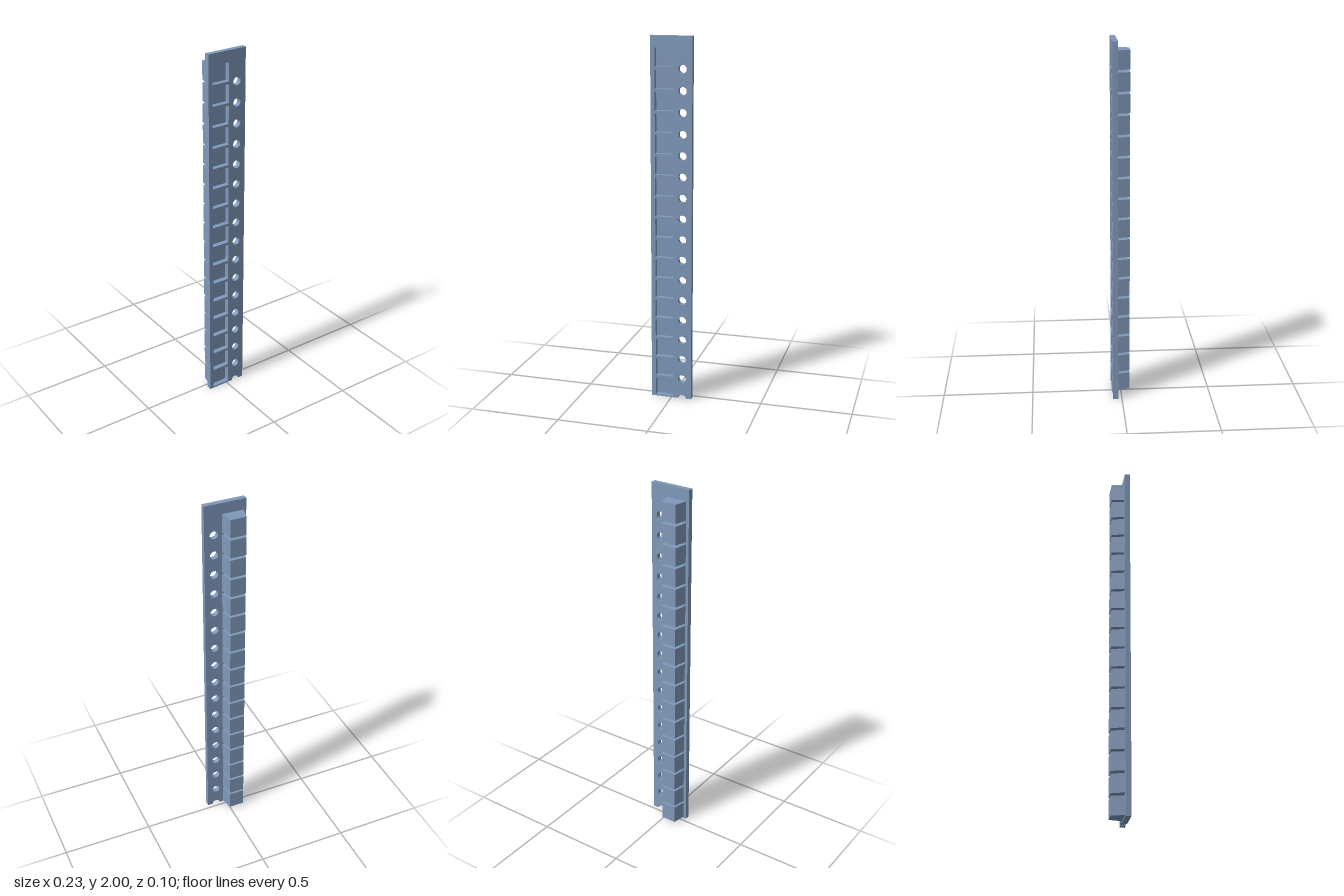
import * as THREE from 'three';

const PITCH = 0.1144, COUNT = 17;
const HALF_W = 0.1135, HEIGHT = 2;
const BACK_Z = 0.021, FRONT_Z = 0.0495, POCKET_Z = -0.0505;
const POCKET_X = -0.04, HOLE_X = 0.061, HOLE_R = 0.0225;

const rowY = (i) => 0.058 + i * PITCH;

// Rectangular opening with slightly rounded corners
function openingPath(cx, cy, half, r) {
  const p = new THREE.Path();
  const k = half - r;
  p.absarc(cx + k, cy + k, r, 0, Math.PI / 2);
  p.absarc(cx - k, cy + k, r, Math.PI / 2, Math.PI);
  p.absarc(cx - k, cy - k, r, Math.PI, Math.PI * 1.5);
  p.absarc(cx + k, cy - k, r, Math.PI * 1.5, Math.PI * 2);
  p.closePath();
  return p;
}

// Flat strip with pocket openings, round holes and a half hole at the bottom end
function stripGeometry() {
  const s = new THREE.Shape();
  s.moveTo(-HALF_W, 0);
  s.lineTo(HOLE_X - HOLE_R, 0);
  s.absarc(HOLE_X, 0, HOLE_R, Math.PI, 0, true);
  s.lineTo(HALF_W, 0);
  s.lineTo(HALF_W, HEIGHT);
  s.lineTo(-HALF_W, HEIGHT);
  s.closePath();
  for (let i = 0; i < COUNT; i++) {
    s.holes.push(openingPath(POCKET_X, rowY(i), 0.05, 0.003));
    if (i > 0) s.holes.push(new THREE.Path().absarc(HOLE_X, i * PITCH, HOLE_R, 0, Math.PI * 2));
  }
  const g = new THREE.ExtrudeGeometry(s, { depth: FRONT_Z - BACK_Z, bevelEnabled: false, curveSegments: 14 });
  return g.translate(0, 0, BACK_Z);
}

// Pocket body: trapezoid in plan, straight from bottom to top
function pocketGeometry(height) {
  const s = new THREE.Shape();
  s.moveTo(-0.057, -BACK_Z);
  s.lineTo(0.057, -BACK_Z);
  s.lineTo(0.043, -POCKET_Z);
  s.lineTo(-0.043, -POCKET_Z);
  s.closePath();
  const g = new THREE.ExtrudeGeometry(s, { depth: height, bevelEnabled: false });
  return g.rotateX(-Math.PI / 2).translate(0, -height / 2, 0);
}

export function createModel() {
  const model = new THREE.Group();
  model.name = 'pocketStrip';
  const blue = new THREE.MeshStandardMaterial({ color: 0x7f99ba });
  blue.name = 'slate blue';

  const strip = new THREE.Mesh(stripGeometry(), blue);
  strip.name = 'strip';
  model.add(strip);

  // Row of pockets behind the openings
  const pockets = new THREE.Group();
  pockets.name = 'pockets';
  const geometry = pocketGeometry(0.101);
  for (let i = 0; i < COUNT; i++) {
    const pocket = new THREE.Mesh(geometry, blue);
    pocket.name = `pocket${i + 1}`;
    pocket.position.set(POCKET_X, rowY(i), 0);
    pockets.add(pocket);
  }
  model.add(pockets);
  return model;
}
